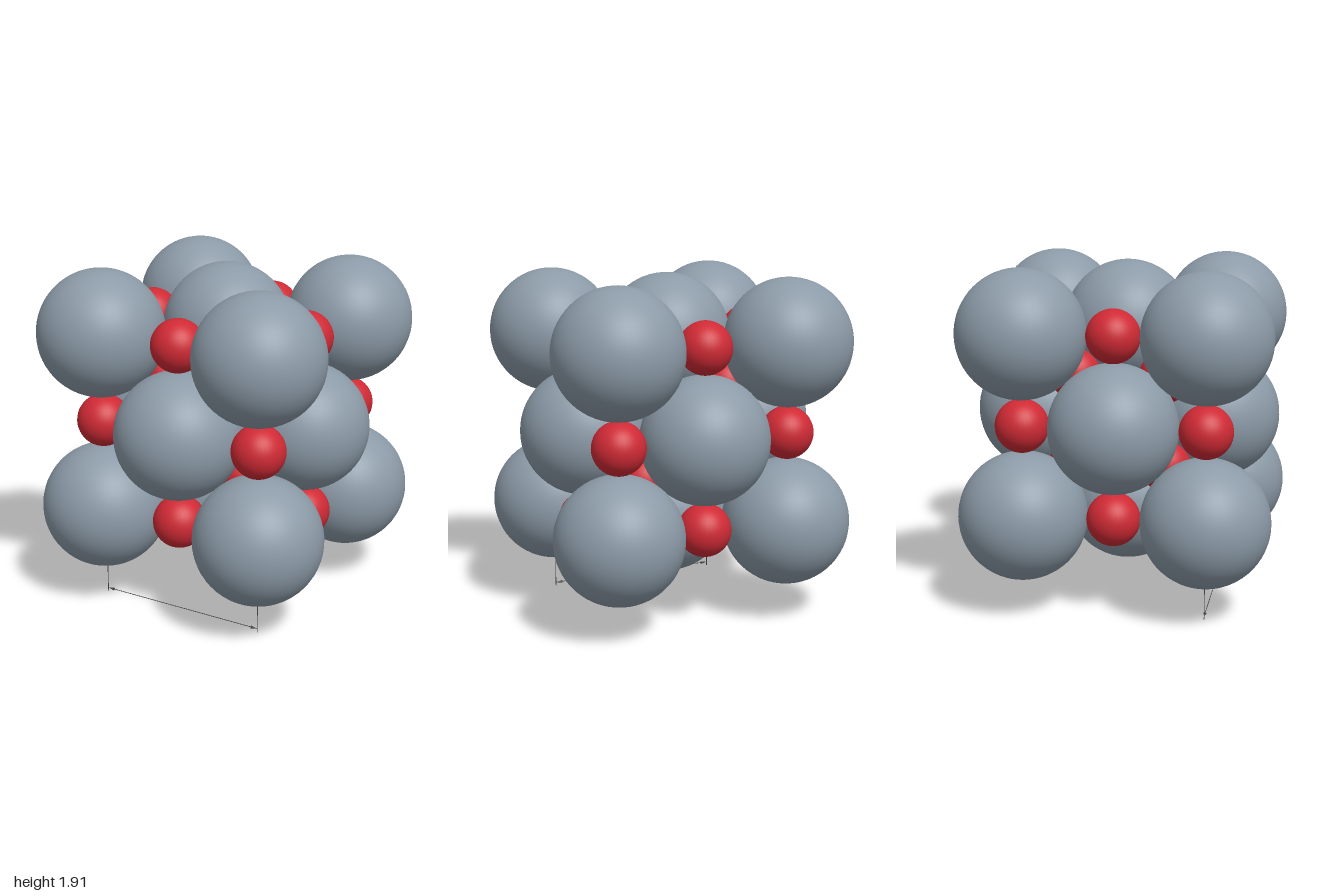
import * as THREE from 'three';

export function createModel() {
  const model = new THREE.Group();
  model.name = 'crystalLattice';

  const greyMat = new THREE.MeshStandardMaterial({ color: 0x8c9ba8 });
  greyMat.name = 'blueGrey';
  const redMat = new THREE.MeshStandardMaterial({ color: 0xcf2a35 });
  redMat.name = 'red';
  const lineMat = new THREE.MeshStandardMaterial({ color: 0x4a4a4a });
  lineMat.name = 'darkGrey';

  const half = 0.503;      // half the cell edge
  const centreY = 1.143;
  const largeGeo = new THREE.SphereGeometry(0.356, 48, 32);
  const smallGeo = new THREE.SphereGeometry(0.148, 36, 24);

  function add(geo, mat, name, x, y, z) {
    const mesh = new THREE.Mesh(geo, mat);
    mesh.name = name;
    mesh.position.set(x, y, z);
    model.add(mesh);
    return mesh;
  }

  // Large atoms at corners and face centres, small ones at edge middles and the body centre
  for (const i of [-1, 0, 1]) for (const j of [-1, 0, 1]) for (const k of [-1, 0, 1]) {
    const large = (i + j + k) % 2 !== 0;
    add(large ? largeGeo : smallGeo, large ? greyMat : redMat, large ? 'largeAtom' : 'smallAtom',
      i * half, centreY + j * half, k * half);
  }

  // Small atoms inside the eight octants
  for (const i of [-1, 1]) for (const j of [-1, 1]) for (const k of [-1, 1]) {
    add(smallGeo, redMat, 'innerSmallAtom', i * half / 2, centreY + j * half / 2, k * half / 2);
  }

  // Dimension line under the front edge: bar, drop lines and arrowheads
  const lineY = 0.112, r = 0.002;
  const bar = add(new THREE.CylinderGeometry(r, r, 2 * half, 8), lineMat, 'dimensionBar', 0, lineY, half);
  bar.rotation.z = Math.PI / 2;
  const dropGeo = new THREE.CylinderGeometry(r, r, 0.2, 8);
  const headGeo = new THREE.ConeGeometry(0.008, 0.04, 12);
  for (const s of [-1, 1]) {
    add(dropGeo, lineMat, 'dropLine', s * half, 0.19, half);
    const head = add(headGeo, lineMat, 'arrowhead', s * (half - 0.02), lineY, half);
    head.rotation.z = -s * Math.PI / 2;
  }

  return model;
}
